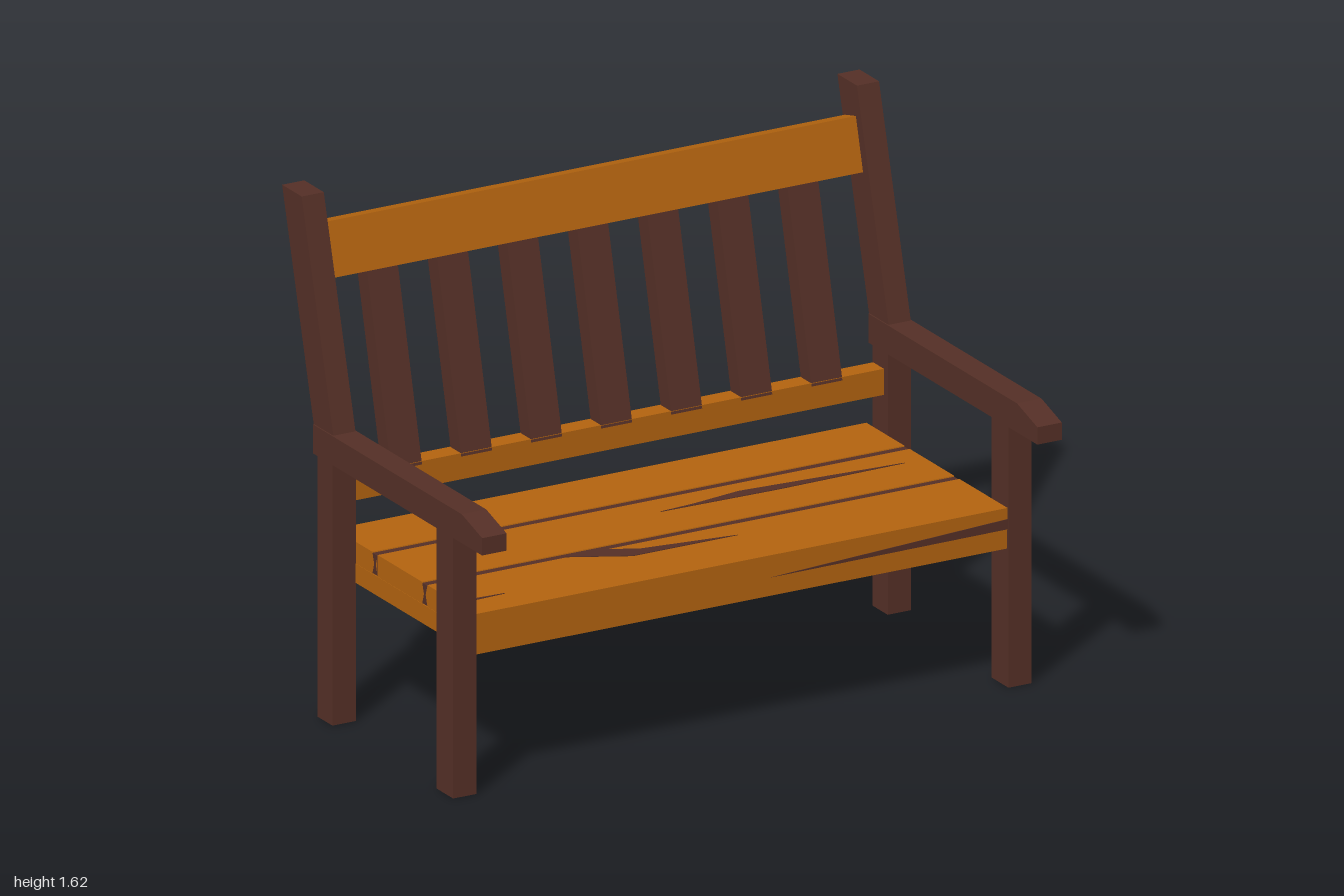
import * as THREE from 'three';

const timber = new THREE.MeshStandardMaterial({ color: 0xb2630f });
timber.name = 'orange timber';
const darkWood = new THREE.MeshStandardMaterial({ color: 0x542f26 });
darkWood.name = 'dark brown wood';

// Side profile given as [z, y] points, extruded along x and centred on x
function beam(name, profile, width, x, material) {
  const shape = new THREE.Shape(profile.map(([z, y]) => new THREE.Vector2(z, y)));
  const geo = new THREE.ExtrudeGeometry(shape, { depth: width, bevelEnabled: false });
  geo.translate(0, 0, -width / 2);
  geo.rotateY(-Math.PI / 2);
  geo.translate(x, 0, 0);
  const mesh = new THREE.Mesh(geo, material);
  mesh.name = name;
  return mesh;
}

const rect = (z0, z1, y0, y1) => [[z0, y0], [z1, y0], [z1, y1], [z0, y1]];

// Thin flat plate lying on the seat, outline given as [x, z] points
function seatGouge(name, outline) {
  const shape = new THREE.Shape(outline.map(([x, z]) => new THREE.Vector2(x, -z)));
  const geo = new THREE.ExtrudeGeometry(shape, { depth: 0.003, bevelEnabled: false });
  geo.rotateX(-Math.PI / 2);
  geo.translate(0, 0.569, 0);
  const mesh = new THREE.Mesh(geo, darkWood);
  mesh.name = name;
  return mesh;
}

export function createModel() {
  const bench = new THREE.Group();
  bench.name = 'bench';
  const inner = 1.83;

  // Legs, leaning back posts and armrests, mirrored
  for (const [side, s] of [['left', 1], ['right', -1]]) {
    const x = s * 0.955;
    bench.add(
      beam(side + 'FrontLeg', rect(0.325, 0.425, 0, 0.84), 0.08, x, darkWood),
      beam(side + 'BackLeg', rect(-0.387, -0.297, 0, 0.84), 0.08, x, darkWood),
      beam(side + 'BackPost', [[-0.41, 0.91], [-0.292, 0.91], [-0.485, 1.622], [-0.602, 1.622]], 0.076, x, darkWood),
      beam(side + 'Armrest', [[-0.41, 0.83], [0.602, 0.83], [0.602, 0.885], [0.48, 0.922], [-0.41, 0.922]], 0.084, x, darkWood),
      // Side apron under the seat
      beam(side + 'SeatApron', rect(-0.36, 0.39, 0.44, 0.501), 0.04, s * 0.896, timber)
    );
  }

  // Front and back aprons
  bench.add(
    beam('frontApron', rect(0.375, 0.417, 0.44, 0.501), inner, 0, timber),
    beam('backApron', rect(-0.385, -0.345, 0.44, 0.501), inner, 0, timber)
  );

  // Seat planks with edges chamfered above and below
  const c = 0.01;
  for (const [z0, z1] of [[-0.425, -0.182], [-0.182, 0.116], [0.116, 0.42]]) {
    const back = z0 < -0.4 ? 0 : c;
    const front = z1 > 0.4 ? 0 : c;
    bench.add(beam('seatPlank', [
      [z0 + back * 1.6, 0.5], [z1 - front * 1.6, 0.5], [z1 - front * 0.5, 0.535],
      [z1 - front * 1.6, 0.57], [z0 + back * 1.6, 0.57], [z0 + back * 0.5, 0.535],
    ], inner, 0, timber));
  }
  // Dark joints between planks
  for (const z of [-0.182, 0.116]) {
    bench.add(beam('plankJoint', rect(z - 0.015, z + 0.015, 0.503, 0.567), inner, 0, darkWood));
  }

  // Worn gouges in the seat
  bench.add(
    seatGouge('middleGouge', [[0, -0.066], [0.12, -0.076], [0.29, -0.103], [0.84, -0.066], [0.4, -0.058]]),
    seatGouge('frontGouge', [[-0.44, 0.13], [-0.31, 0.13], [-0.21, 0.18], [0.1, 0.222], [-0.26, 0.222]]),
    seatGouge('cornerGouge', [[-0.915, 0.3], [-0.75, 0.31], [-0.915, 0.318]])
  );

  // Split along the front edge of the seat
  const split = new THREE.Shape([
    new THREE.Vector2(0.1, 0.5), new THREE.Vector2(0.915, 0.503), new THREE.Vector2(0.915, 0.535),
  ]);
  const splitMesh = new THREE.Mesh(new THREE.ExtrudeGeometry(split, { depth: 0.003, bevelEnabled: false }), darkWood);
  splitMesh.name = 'frontEdgeSplit';
  splitMesh.position.z = 0.419;
  bench.add(splitMesh);

  // Lower and upper back rails
  bench.add(
    beam('lowerBackRail', rect(-0.385, -0.32, 0.692, 0.775), inner, 0, timber),
    beam('upperBackRail', [[-0.51, 1.343], [-0.445, 1.36], [-0.488, 1.525], [-0.554, 1.508]], inner, 0, timber)
  );

  // Seven leaning back slats
  for (let i = 0; i < 7; i++) {
    bench.add(beam('backSlat',
      [[-0.38, 0.765], [-0.318, 0.765], [-0.465, 1.365], [-0.527, 1.365]],
      0.106, -0.728 + i * 0.241, darkWood));
  }
  return bench;
}
